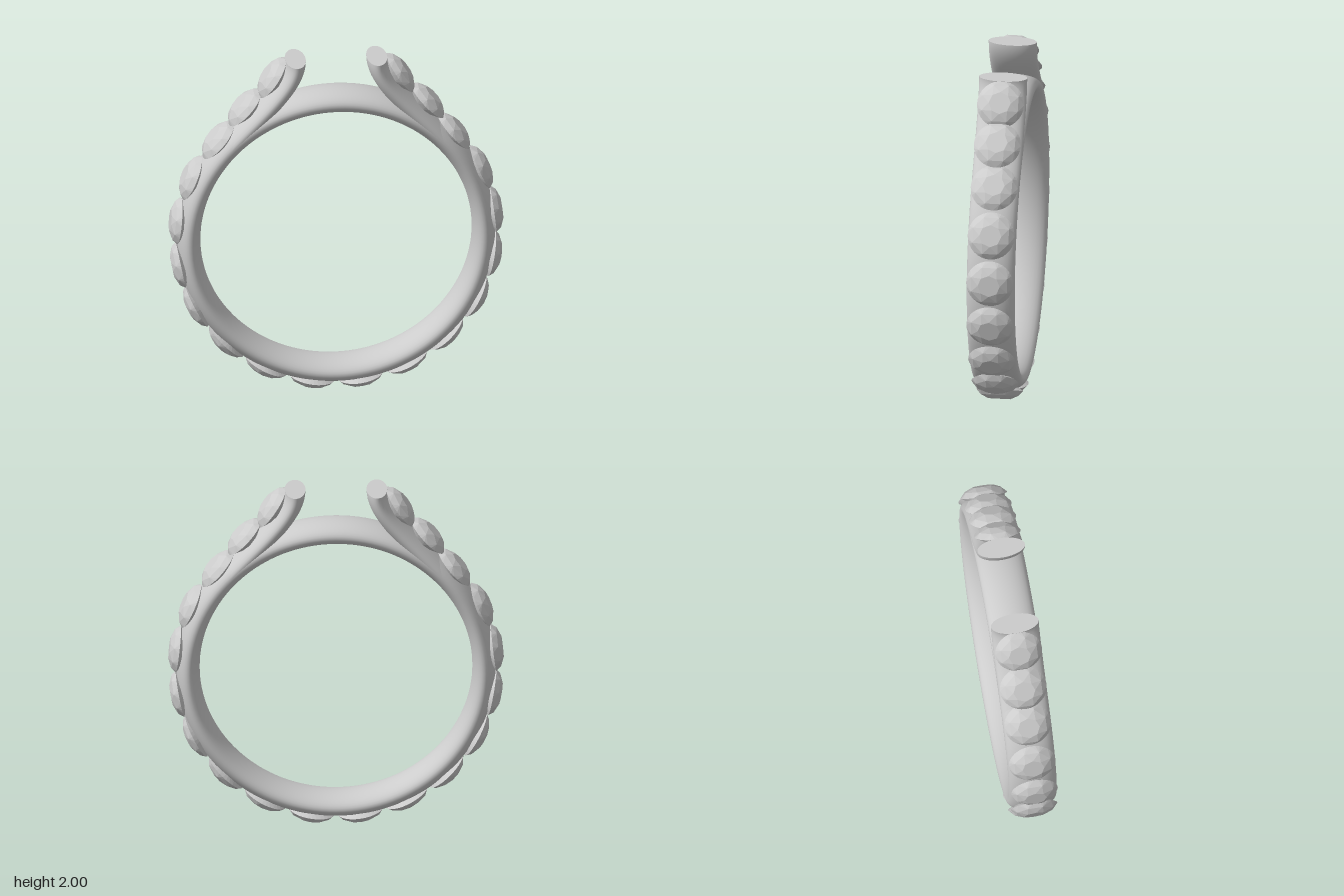
import * as THREE from 'three';
import { ConvexGeometry } from 'three/addons/geometries/ConvexGeometry.js';

const CENTER_Y = 0.93;
const HALF_WIDTH = 0.135;

// Faceted round stone whose crown points along +x
function gemGeometry() {
  const points = [];
  const ring = (count, radius, height, offset = 0) => {
    for (let i = 0; i < count; i++) {
      const a = ((i + offset) / count) * Math.PI * 2;
      points.push(new THREE.Vector3(height, radius * Math.cos(a), radius * Math.sin(a)));
    }
  };
  ring(8, 0.062, 0.05);        // table
  ring(8, 0.11, 0.029, 0.5);   // crown facets
  ring(32, 0.132, 0);          // girdle
  ring(8, 0.06, -0.045);       // pavilion, sunk into the band
  return new ConvexGeometry(points);
}

export function createModel() {
  const group = new THREE.Group();
  const metal = new THREE.MeshStandardMaterial({ color: 0xcccccc });
  const stone = new THREE.MeshStandardMaterial({ color: 0xcccccc, flatShading: true });

  const add = (name, geometry, material) => {
    const mesh = new THREE.Mesh(geometry, material);
    mesh.name = name;
    group.add(mesh);
    return mesh;
  };

  // Band with an oval section, wide along z
  const band = new THREE.TorusGeometry(0.825, 0.065, 32, 128);
  band.scale(1, 1, HALF_WIDTH / 0.065);
  add('band', band, metal).position.y = CENTER_Y;

  // Stone centres: eight around the band, two up the arm
  const settings = [];
  for (let i = 0; i < 8; i++) {
    const angle = THREE.MathUtils.degToRad(-81.2 + 17.6 * i);
    settings.push([0.885 * Math.cos(angle), CENTER_Y + 0.885 * Math.sin(angle), angle]);
  }
  settings.push([0.51, 1.715, 0.765], [0.355, 1.892, 0.61]);

  const gem = gemGeometry();
  for (const side of [1, -1]) {
    const label = side > 0 ? 'left' : 'right';

    // Arm leaving the band and curving upright to a flat cut
    const p = (x, y) => new THREE.Vector3(side * x, y, 0);
    const path = new THREE.CubicBezierCurve3(
      p(0.632, 1.46), p(0.47, 1.65), p(0.228, 1.85), p(0.228, 2));
    const arm = new THREE.TubeGeometry(path, 40, 0.058, 32);
    arm.scale(1, 1, HALF_WIDTH / 0.058);
    add(label + 'Arm', arm, metal);

    // Flat oval end
    const cap = new THREE.CircleGeometry(0.058, 32);
    cap.scale(1, HALF_WIDTH / 0.058, 1);
    cap.rotateX(-Math.PI / 2);
    add(label + 'ArmEnd', cap, metal).position.set(side * 0.228, 2, 0);

    // Row of stones facing outward
    settings.forEach(([x, y, angle], i) => {
      const mesh = add(label + 'Gem' + (i + 1), gem, stone);
      mesh.position.set(side * x, y, 0);
      mesh.rotation.z = side > 0 ? angle : Math.PI - angle;
    });
  }
  return group;
}
